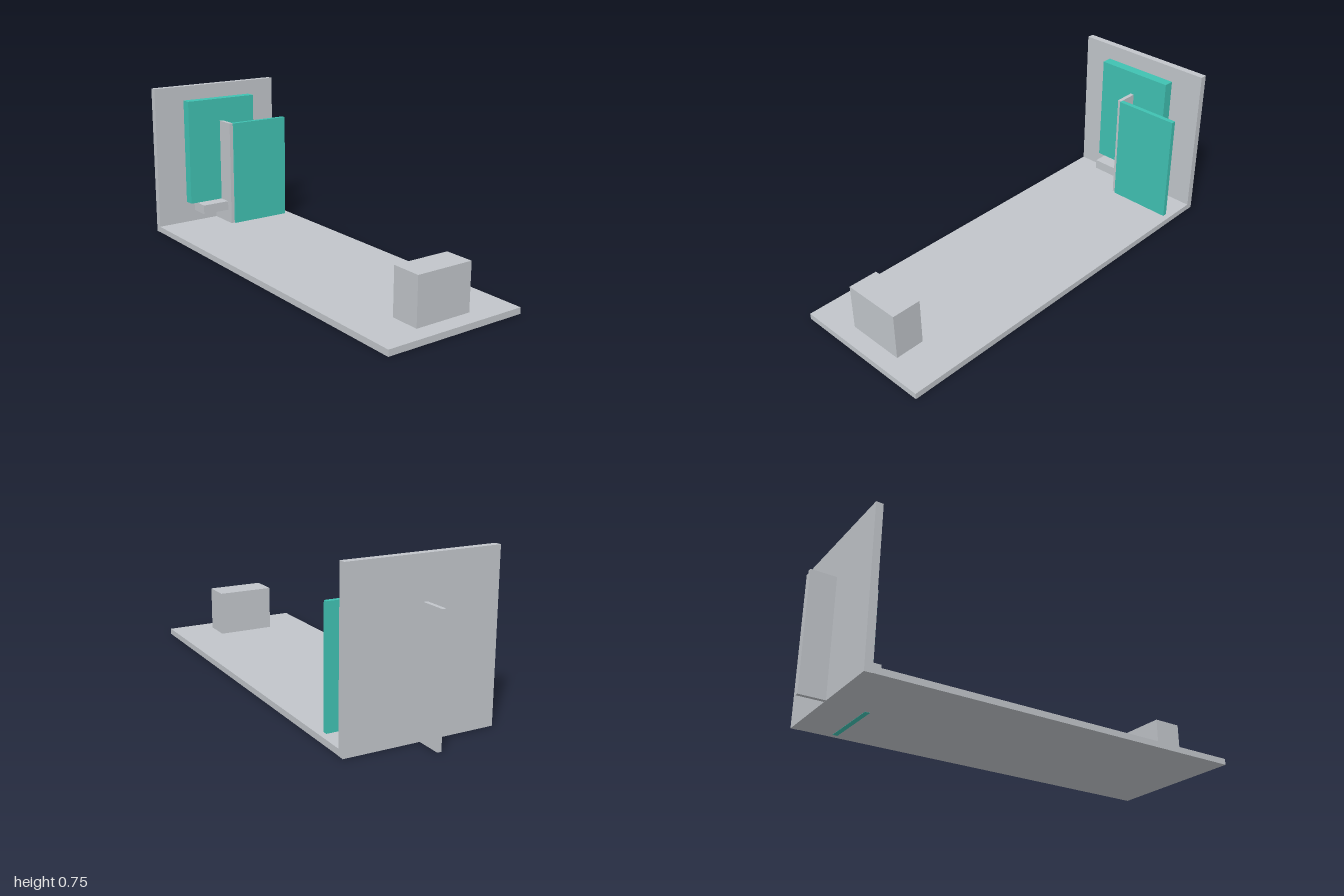
import * as THREE from 'three';

export function createModel() {
  const group = new THREE.Group();
  const grey = new THREE.MeshStandardMaterial({ color: 0xc1c5ca });
  grey.name = 'light grey';
  const teal = new THREE.MeshStandardMaterial({ color: 0x40c1b2 });
  teal.name = 'teal';

  // Adds a box given its extents on each axis
  function slab(name, material, [x0, x1], [y0, y1], [z0, z1]) {
    const mesh = new THREE.Mesh(new THREE.BoxGeometry(x1 - x0, y1 - y0, z1 - z0), material);
    mesh.position.set((x0 + x1) / 2, (y0 + y1) / 2, (z0 + z1) / 2);
    mesh.name = name;
    group.add(mesh);
  }

  // Floor, wall and the block at the front
  slab('floor', grey, [-0.351, 0.351], [0.001, 0.03], [-0.846, 1]);
  slab('backWall', grey, [-0.351, 0.351], [0, 0.753], [-0.88, -0.846]);
  slab('frontBlock', grey, [-0.141, 0.141], [0.03, 0.25], [0.778, 0.918]);

  // Fin that runs through the wall
  slab('fin', grey, [-0.013, 0.006], [0.001, 0.565], [-1, -0.686]);

  // Panel resting on a ledge in front of the wall
  slab('ledge', grey, [-0.158, 0.157], [0.096, 0.143], [-0.82, -0.718]);
  slab('backPanel', teal, [-0.195, 0.193], [0.143, 0.682], [-0.836, -0.786]);

  // Front panel beside the fin, set through the floor
  slab('frontPanel', teal, [0.006, 0.322], [0, 0.565], [-0.7, -0.677]);

  return group;
}
